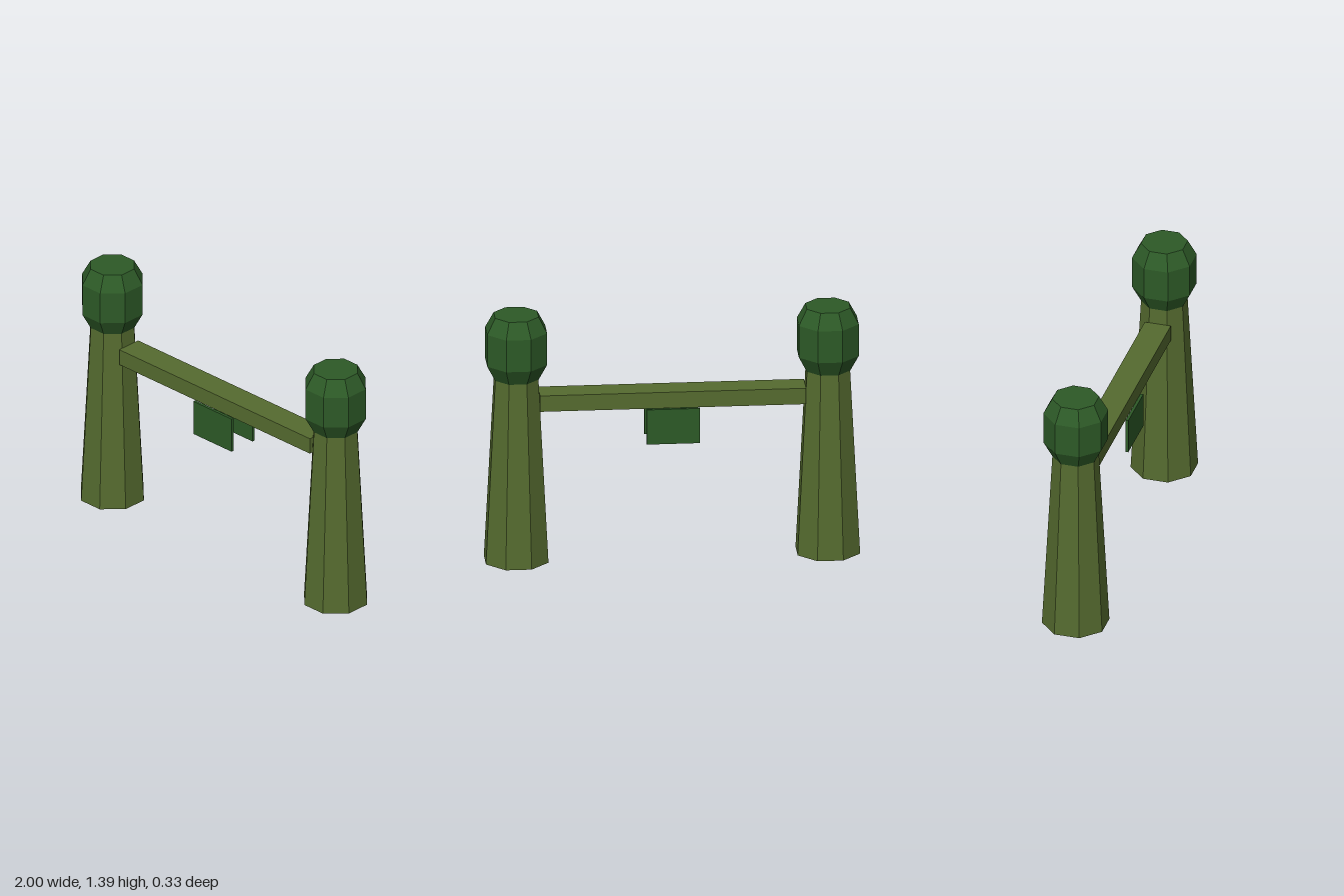
import * as THREE from 'three';

export function createModel() {
  const model = new THREE.Group();
  model.name = 'gateway';

  const olive = new THREE.MeshStandardMaterial({ color: 0x556b2f, flatShading: true });
  olive.name = 'olive wood';
  const green = new THREE.MeshStandardMaterial({ color: 0x2d5a27, flatShading: true });
  green.name = 'dark green';

  const add = (name, geometry, material, x, y, z) => {
    const mesh = new THREE.Mesh(geometry, material);
    mesh.name = name;
    mesh.position.set(x, y, z);
    model.add(mesh);
  };

  // Eight-sided solid with flats facing the axes; profile gives [flat distance, height]
  const octagonal = (profile) => new THREE.LatheGeometry(
    profile.map(([d, y]) => new THREE.Vector2(d / Math.cos(Math.PI / 8), y)), 8, Math.PI / 8);

  const postGeometry = octagonal([[0, 0], [0.167, 0], [0.115, 1.04], [0, 1.04]]);
  const headGeometry = octagonal([[0, 1.035], [0.116, 1.035], [0.16, 1.123], [0.16, 1.303], [0.116, 1.39], [0, 1.39]]);

  // Tapered posts with bulbous heads
  for (const [side, s] of [['left', 1], ['right', -1]]) {
    add(side + 'Post', postGeometry, olive, s * 0.833, 0, 0);
    add(side + 'PostHead', headGeometry, green, s * 0.833, 0, 0);
  }

  // Crossbeam between the posts
  add('crossbeam', new THREE.BoxGeometry(1.422, 0.09, 0.144), olive, 0, 0.905, 0);

  // Hanging sign plates on the front and back
  const plateGeometry = new THREE.BoxGeometry(0.284, 0.197, 0.016);
  add('frontSign', plateGeometry, green, 0, 0.7605, 0.08);
  add('backSign', plateGeometry, green, 0, 0.7605, -0.08);

  return model;
}
